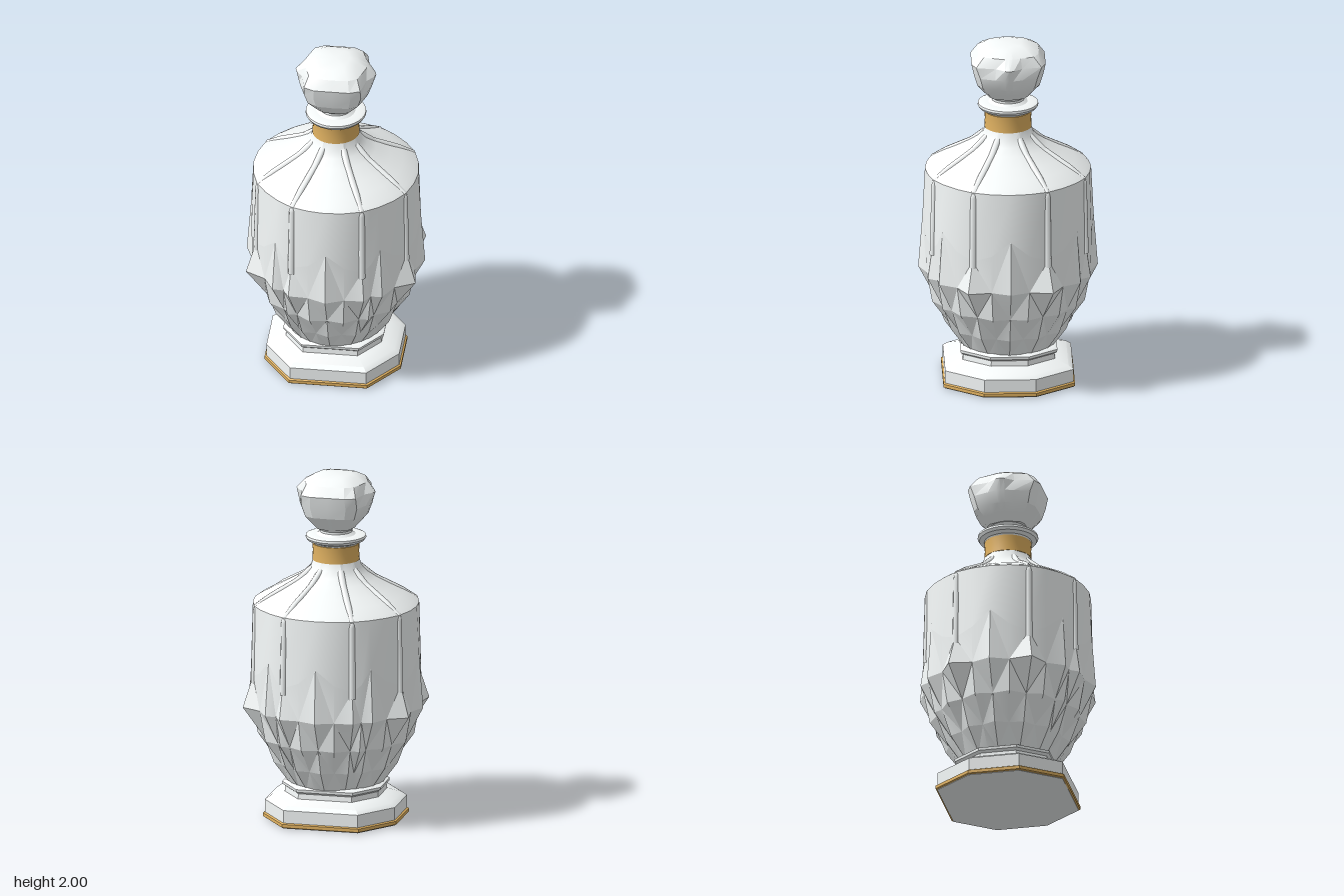
import * as THREE from 'three';
import { toCreasedNormals } from 'three/addons/utils/BufferGeometryUtils.js';

const glass = new THREE.MeshStandardMaterial({ color: 0xf6fafa });
const gold = new THREE.MeshStandardMaterial({ color: 0xe2b362 });

// Skin a stack of closed rings (counter-clockwise from +z towards +x), bottom to top.
// lattice: alternate the quad diagonals so that they run along the cut grooves.
function loft(rings, { crease = 0.5, bottom = false, top = false, lattice = false } = {}) {
  const n = rings[0].length, pos = [], index = [];
  rings.forEach(r => r.forEach(p => pos.push(p.x, p.y, p.z)));
  for (let i = 0; i < rings.length - 1; i++) {
    for (let j = 0; j < n; j++) {
      const k = (j + 1) % n;
      const a = i * n + j, b = i * n + k, c = a + n, d = b + n;
      if (lattice && (i + j) % 2) index.push(a, b, c, b, d, c);
      else index.push(a, b, d, a, d, c);
    }
  }
  const cap = (row, up) => {
    const centre = pos.length / 3;
    pos.push(0, rings[row][0].y, 0);
    for (let j = 0; j < n; j++) {
      const a = row * n + j, b = row * n + (j + 1) % n;
      index.push(centre, up ? a : b, up ? b : a);
    }
  };
  if (bottom) cap(0, false);
  if (top) cap(rings.length - 1, true);
  const g = new THREE.BufferGeometry();
  g.setAttribute('position', new THREE.Float32BufferAttribute(pos, 3));
  g.setIndex(index);
  return toCreasedNormals(g, crease);
}

function add(parent, name, geometry, material = glass) {
  const mesh = new THREE.Mesh(geometry, material);
  mesh.name = name;
  parent.add(mesh);
}

// Mirror one quadrant of [x, z] points, listed from +z to +x, into a full outline.
function mirrorOutline(quadrant) {
  const flip = (sx, sz, rev) => {
    const q = quadrant.map(([x, z]) => [x * sx, z * sz]);
    return rev ? q.reverse() : q;
  };
  const all = [...flip(1, 1), ...flip(1, -1, true), ...flip(-1, -1), ...flip(-1, 1, true)];
  return all.filter((p, i) => {
    const q = all[(i + 1) % all.length];
    return Math.hypot(p[0] - q[0], p[1] - q[1]) > 1e-6;
  });
}

const ringOf = (outline, y, sx, sz = sx) =>
  outline.map(([x, z]) => new THREE.Vector3(x * sx, y, z * sz));

// Column angles: multiples of 4 are panel centres, 2 beyond them are panel ribs.
const quarter = [0, 12.5, 25, 31.5, 38, 51, 63.5, 77];
const angles = [];
for (let q = 0; q < 4; q++) {
  for (let j = 0; j < 8; j++) {
    const a = q % 2 ? (j ? 90 - quarter[8 - j] : 0) : quarter[j];
    angles.push(THREE.MathUtils.degToRad(q * 90 + a));
  }
}
const polar = (r, y, a) => new THREE.Vector3(r * Math.sin(a), y, r * Math.cos(a));
const bodyRing = fn => angles.map((a, j) => {
  const [r, y] = fn(j % 2 === 0, j % 4 === 2, j);
  return polar(r, y, a);
});

function createModel() {
  const model = new THREE.Group();
  model.name = 'decanter';

  // Eight-sided foot with a gilded bottom rim
  const octagon = mirrorOutline([[0.22, 0.368], [0.384, 0.147]]);
  const footProfile = [
    [0, 0.985], [0.105, 0.985], [0.125, 0.91], [0.142, 0.77], [0.15, 0.71],
    [0.18, 0.7], [0.192, 0.74], [0.208, 0.745], [0.22, 0.68]
  ];
  add(model, 'foot', loft(footProfile.map(([y, s]) => ringOf(octagon, y, s)),
    { bottom: true, top: true }));
  add(model, 'footRim', loft([[0.002, 0.98], [0.007, 1.01], [0.026, 1.01], [0.033, 0.98]]
    .map(([y, s]) => ringOf(octagon, y, s))), gold);

  // Lower body: rows of raised diamonds, their points on alternating columns
  const sidePoints = [6, 10, 22, 26];
  const bodyTop = bodyRing((even, rib) => even ? [rib ? 0.48 : 0.484, rib ? 0.84 : 0.97] : [0.48, 0.88]);
  add(model, 'diamondCutBody', loft([
    bodyRing(() => [0.265, 0.2]),
    bodyRing(even => [even ? 0.36 : 0.335, 0.33]),
    bodyRing(even => [even ? 0.415 : 0.442, 0.48]),
    bodyRing((even, rib, j) => [!even ? 0.476 : sidePoints.includes(j) ? 0.54 : 0.508, 0.66]),
    bodyTop
  ], { lattice: true, crease: 0.25 }));

  // Upper body panels and sloping shoulder
  const upper = [[0.47, 1.25], [0.445, 1.268], [0.38, 1.306], [0.31, 1.342], [0.225, 1.39],
    [0.175, 1.425], [0.145, 1.46], [0.13, 1.5]];
  add(model, 'upperBody', loft([
    bodyTop,
    ...upper.map(([r, y]) => bodyRing((even, rib) => [r + (rib ? 0.004 : 0), y]))
  ], { crease: 0.45 }));

  // Low, broad ribs between the panels, running up over the shoulder
  const ribs = new THREE.Group();
  ribs.name = 'panelRibs';
  model.add(ribs);
  angles.forEach((a, j) => {
    if (j % 4 !== 2) return;
    const path = new THREE.CurvePath();
    const pts = [[0.474, 0.8], [0.462, 1.24], [0.375, 1.3], [0.22, 1.383], [0.135, 1.455]]
      .map(([r, y]) => polar(r, y, a));
    for (let i = 0; i < pts.length - 1; i++) path.add(new THREE.LineCurve3(pts[i], pts[i + 1]));
    add(ribs, 'rib', new THREE.TubeGeometry(path, 32, 0.02, 8));
  });

  // Neck band and lip
  const lathe = pts => toCreasedNormals(
    new THREE.LatheGeometry(pts.map(p => new THREE.Vector2(...p)), 32), 0.5);
  add(model, 'neckBand', lathe([[0.12, 1.498], [0.134, 1.5], [0.131, 1.55], [0.134, 1.595], [0.12, 1.598]]), gold);
  add(model, 'lip', lathe([[0.125, 1.59], [0.135, 1.605], [0.162, 1.615], [0.172, 1.63],
    [0.17, 1.643], [0.155, 1.648], [0.09, 1.648]]));

  // Stopper: round stem and faceted squarish head with a point on each side
  add(model, 'stopperStem', lathe([[0.115, 1.645], [0.092, 1.662], [0.092, 1.675], [0.108, 1.695], [0.07, 1.71]]));
  const headOutline = mirrorOutline([[0, 0.21], [0.1, 0.21], [0.16, 0.185], [0.183, 0.075], [0.222, 0.025], [0.23, 0]]);
  const blockOutline = mirrorOutline([[0, 0.21], [0.1, 0.205], [0.155, 0.17], [0.185, 0.08], [0.2, 0.025], [0.2, 0]]);
  const head = [
    ringOf(blockOutline, 1.69, 0.55, 0.52),
    ringOf(blockOutline, 1.73, 0.73, 0.68),
    ringOf(blockOutline, 1.775, 0.92, 0.86),
    ringOf(blockOutline, 1.84, 1.04, 0.95),
    ringOf(headOutline, 1.905, 1),
    ringOf(blockOutline, 1.96, 0.89, 0.83),
    ringOf(blockOutline, 1.99, 0.62, 0.58),
    ringOf(blockOutline, 2, 0.4, 0.36)
  ];
  add(model, 'stopperHead', loft(head, { bottom: true, top: true, crease: 0.4 }));

  return model;
}

export { createModel };
